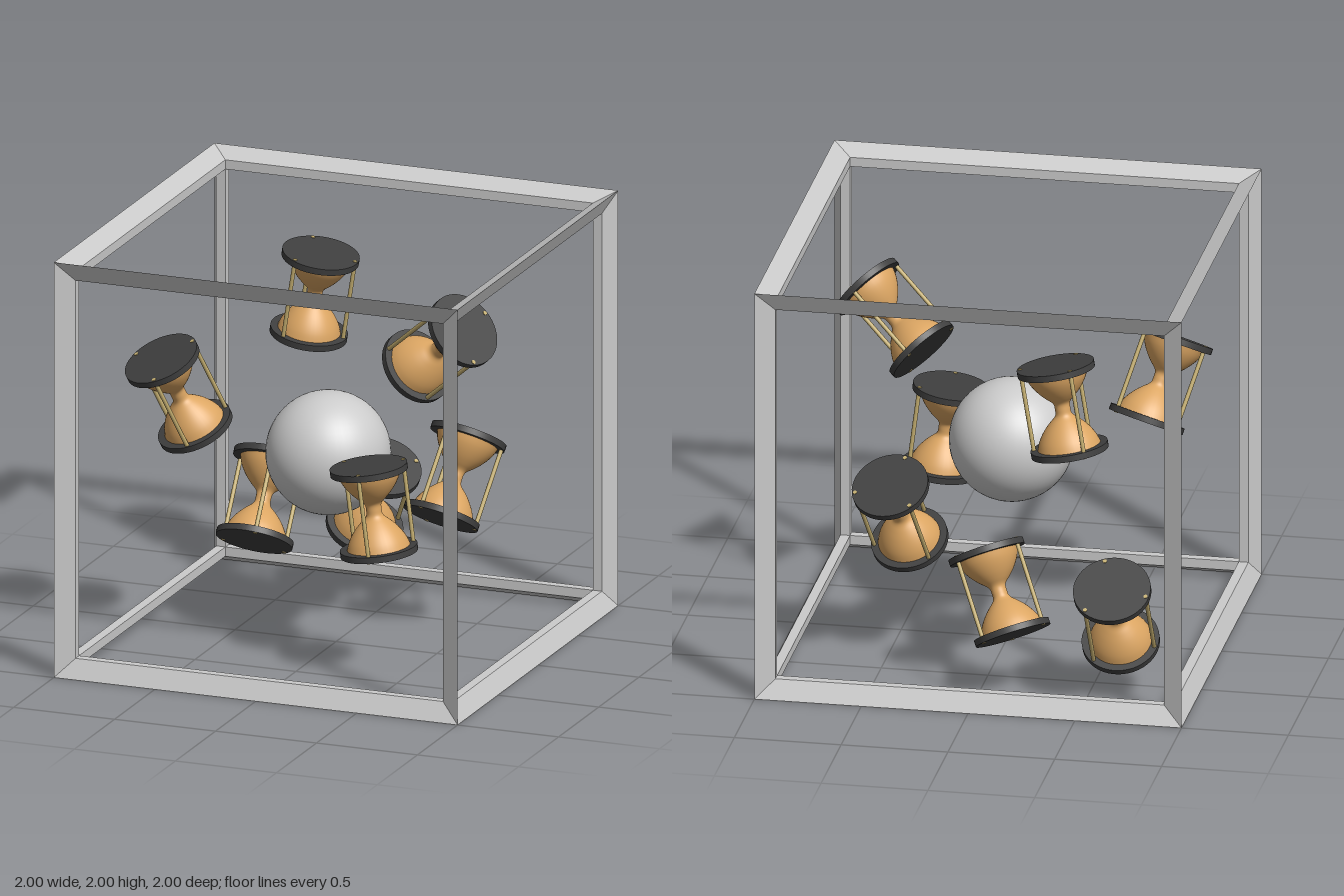
import * as THREE from 'three';

const mat = (color, opts = {}) => new THREE.MeshStandardMaterial({ color, ...opts });
const grey = mat(0xcccccc);
const greyFlat = mat(0xcccccc, { flatShading: true });
const dark = mat(0x3f3f3f);
const sand = mat(0xdca663);
const brass = mat(0xc4ae70);

const DISC_R = 0.18, DISC_T = 0.03, LENGTH = 0.42, ROD_R = 0.01, ROD_AT = 0.165;

function add(parent, name, geometry, material) {
  const mesh = new THREE.Mesh(geometry, material);
  mesh.name = name;
  parent.add(mesh);
  return mesh;
}

// One cube edge along x: kite section whose ends are mitred at the corners
function edgeBarGeometry() {
  const h = 0.045, o = 1, m = 1 - h, i = 1 - 2 * h;
  // section points [y, z] and the half length at each one
  const ring = [[o, o, o], [i, m, i], [i, i, i], [m, i, i]];
  const pos = [];
  for (let k = 0; k < 4; k++) {
    const [y0, z0, l0] = ring[k], [y1, z1, l1] = ring[(k + 1) % 4];
    const a = [-l0, y0, z0], b = [l0, y0, z0], c = [l1, y1, z1], d = [-l1, y1, z1];
    pos.push(...a, ...d, ...c, ...a, ...c, ...b);
  }
  const g = new THREE.BufferGeometry();
  g.setAttribute('position', new THREE.Float32BufferAttribute(pos, 3));
  g.computeVertexNormals();
  return g;
}

function buildFrame() {
  const frame = new THREE.Group();
  frame.name = 'cubeFrame';
  const bar = edgeBarGeometry();
  const turns = [[0, 0, 0], [0, 0, Math.PI / 2], [0, Math.PI / 2, 0]];
  for (const turn of turns) {
    const set = new THREE.Group();
    set.name = 'parallelBars';
    set.rotation.set(...turn);
    for (let k = 0; k < 4; k++) add(set, 'frameBar', bar, greyFlat).rotation.x = k * Math.PI / 2;
    frame.add(set);
  }
  frame.position.y = 1;
  return frame;
}

// Two rounded bulbs joined by a narrow neck
function bulbGeometry() {
  const half = [[0.036, 0], [0.037, 0.022], [0.046, 0.038], [0.068, 0.058], [0.094, 0.085],
    [0.118, 0.117], [0.136, 0.15], [0.148, 0.185]];
  const lower = half.slice(1).reverse().map(([r, y]) => [r, -y]);
  const curve = new THREE.SplineCurve([...lower, ...half].map(p => new THREE.Vector2(...p)));
  return new THREE.LatheGeometry(curve.getPoints(44), 40);
}

const bulbs = bulbGeometry();
const disc = new THREE.CylinderGeometry(DISC_R, DISC_R, DISC_T, 48);
const rod = new THREE.CylinderGeometry(ROD_R, ROD_R, LENGTH + 0.006, 12);

// axis: bottom to top; firstRod: rough direction of the first rod from the axis
function buildHourglass(center, axis, firstRod) {
  const group = new THREE.Group();
  group.name = 'hourglass';
  add(group, 'glassBulbs', bulbs, sand);
  for (const s of [-1, 1]) {
    add(group, s > 0 ? 'topDisc' : 'bottomDisc', disc, dark).position.y = s * (LENGTH - DISC_T) / 2;
  }
  for (let k = 0; k < 3; k++) {
    const a = k * Math.PI * 2 / 3;
    add(group, 'supportRod', rod, brass).position.set(ROD_AT * Math.cos(a), 0, ROD_AT * Math.sin(a));
  }
  const y = new THREE.Vector3(...axis).normalize();
  const x = new THREE.Vector3(...firstRod).projectOnPlane(y).normalize();
  const z = new THREE.Vector3().crossVectors(x, y);
  group.quaternion.setFromRotationMatrix(new THREE.Matrix4().makeBasis(x, y, z));
  group.position.set(...center);
  return group;
}

// Direction in the ground plane, in degrees from +x towards +z
const dir = deg => [Math.cos(deg * Math.PI / 180), 0, Math.sin(deg * Math.PI / 180)];

export function createModel() {
  const model = new THREE.Group();
  model.name = 'hourglassesInCube';
  model.add(buildFrame());

  add(model, 'centralSphere', new THREE.SphereGeometry(0.29, 48, 32), grey).position.set(0, 0.94, 0.096);

  const glasses = [
    [[-0.64, 0.415, -0.705], [0, 0.83, -0.55], dir(73)],
    [[-0.39, 1.425, -0.715], [0.075, 0.41, 0.03], dir(-5)],
    [[0.38, 0.82, 0.484], [-0.052, 0.41, 0.005], dir(85)],
    [[0.43, 0.73, -0.4], [0.055, 0.348, -0.215], dir(108)],
    [[-0.66, 1.205, 0.3], [-0.113, 0.37, 0.157], dir(87)],
    [[0.549, 1.5, 0.09], [0.718, 0.615, 0.333], [0.04, 0.04, -0.16]],
    [[-0.09, 0.49, -0.695], [0.155, 0.35, 0.15], dir(70)],
  ];
  for (const g of glasses) model.add(buildHourglass(...g));
  return model;
}
